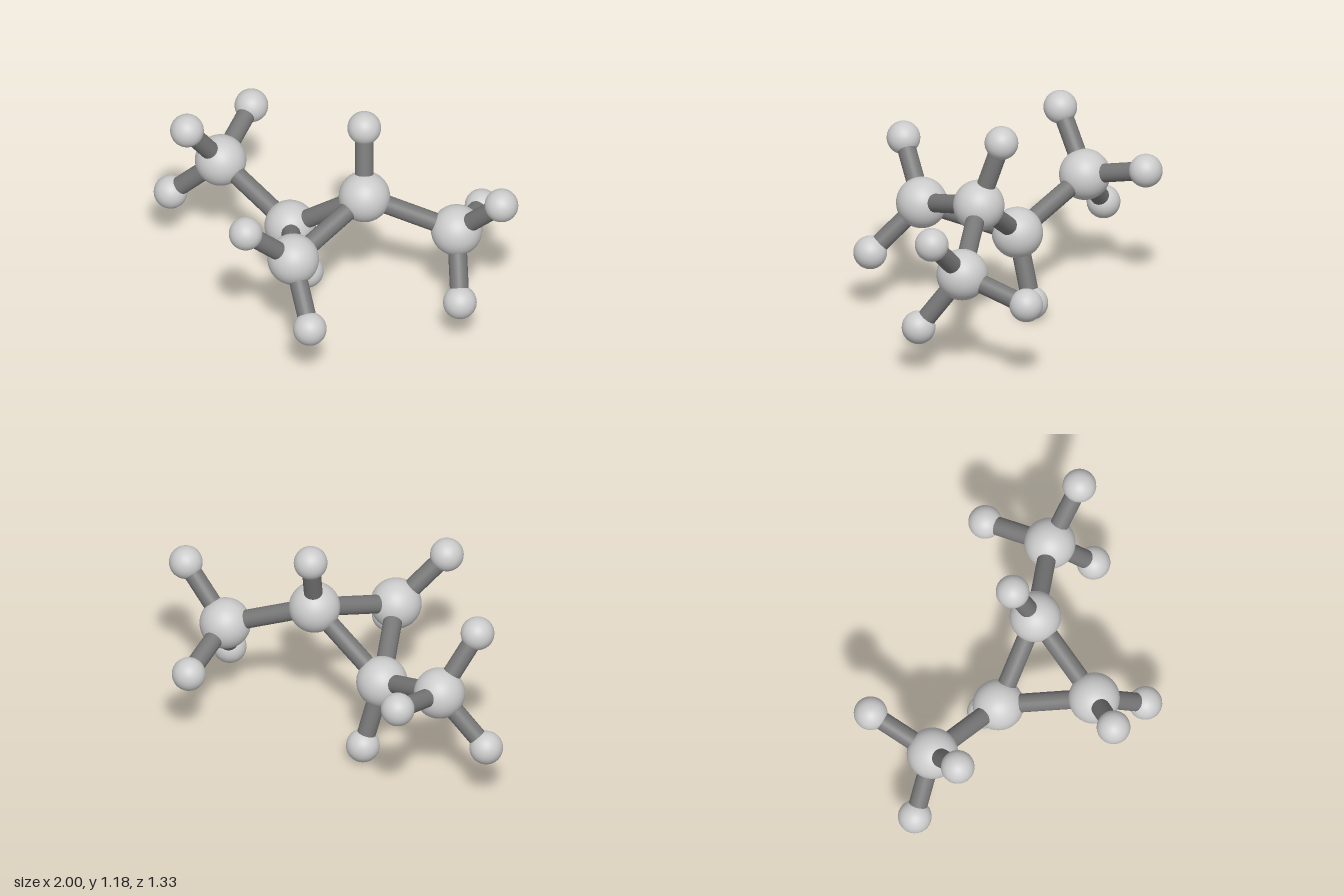
import * as THREE from 'three';

const CENTRE_Y = 0.592; // height of the two-fold axis, which runs along z
const LARGE = 0.131, SMALL = 0.086, ROD = 0.048;

export function createModel() {
  const model = new THREE.Group();
  model.name = 'moleculeModel';
  const ballMaterial = new THREE.MeshStandardMaterial({ color: 0xcccccc });
  const rodMaterial = new THREE.MeshStandardMaterial({ color: 0x777777 });
  const largeBall = new THREE.SphereGeometry(LARGE, 40, 28);
  const smallBall = new THREE.SphereGeometry(SMALL, 32, 22);
  const up = new THREE.Vector3(0, 1, 0);

  function addBall(name, geometry, position) {
    const mesh = new THREE.Mesh(geometry, ballMaterial);
    mesh.name = name;
    mesh.position.copy(position);
    model.add(mesh);
  }

  // Rod between two ball centres
  function addRod(name, a, b) {
    const direction = b.clone().sub(a);
    const geometry = new THREE.CylinderGeometry(ROD, ROD, direction.length(), 24);
    const mesh = new THREE.Mesh(geometry, rodMaterial);
    mesh.name = name;
    mesh.position.copy(a).add(b).multiplyScalar(0.5);
    mesh.quaternion.setFromUnitVectors(up, direction.normalize());
    model.add(mesh);
  }

  // Front corner of the three-ball ring, on the axis
  const apex = new THREE.Vector3(0, CENTRE_Y, 0.375);
  addBall('ringFrontAtom', largeBall, apex);

  // Each half is the other turned half a circle about the axis
  const ringCorners = [];
  for (const [side, s] of [['left', 1], ['right', -1]]) {
    const at = (x, y, z) => new THREE.Vector3(s * x, CENTRE_Y + s * y, z);

    const corner = at(0.205, 0.153, -0.067);
    const end = at(0.652, -0.03, -0.214);
    ringCorners.push(corner);
    addBall(side + 'RingAtom', largeBall, corner);
    addBall(side + 'EndAtom', largeBall, end);
    addRod(side + 'RingBond', apex, corner);
    addRod(side + 'ArmBond', corner, end);

    // Small balls: [name, ball they hang on, position]
    const smallAtoms = [
      ['FrontSmall', apex, at(-0.177, 0.251, 0.577)],
      ['RingSmall', corner, at(0.159, 0.503, -0.173)],
      ['EndOuterSmall', end, at(0.914, 0.227, -0.18)],
      ['EndFrontSmall', end, at(0.754, -0.324, -0.017)],
      ['EndBackSmall', end, at(0.636, -0.131, -0.576)],
    ];
    for (const [name, parent, position] of smallAtoms) {
      addBall(side + name + 'Atom', smallBall, position);
      addRod(side + name + 'Bond', parent, position);
    }
  }

  // Rod closing the ring at the back
  addRod('ringBackBond', ringCorners[0], ringCorners[1]);
  return model;
}
